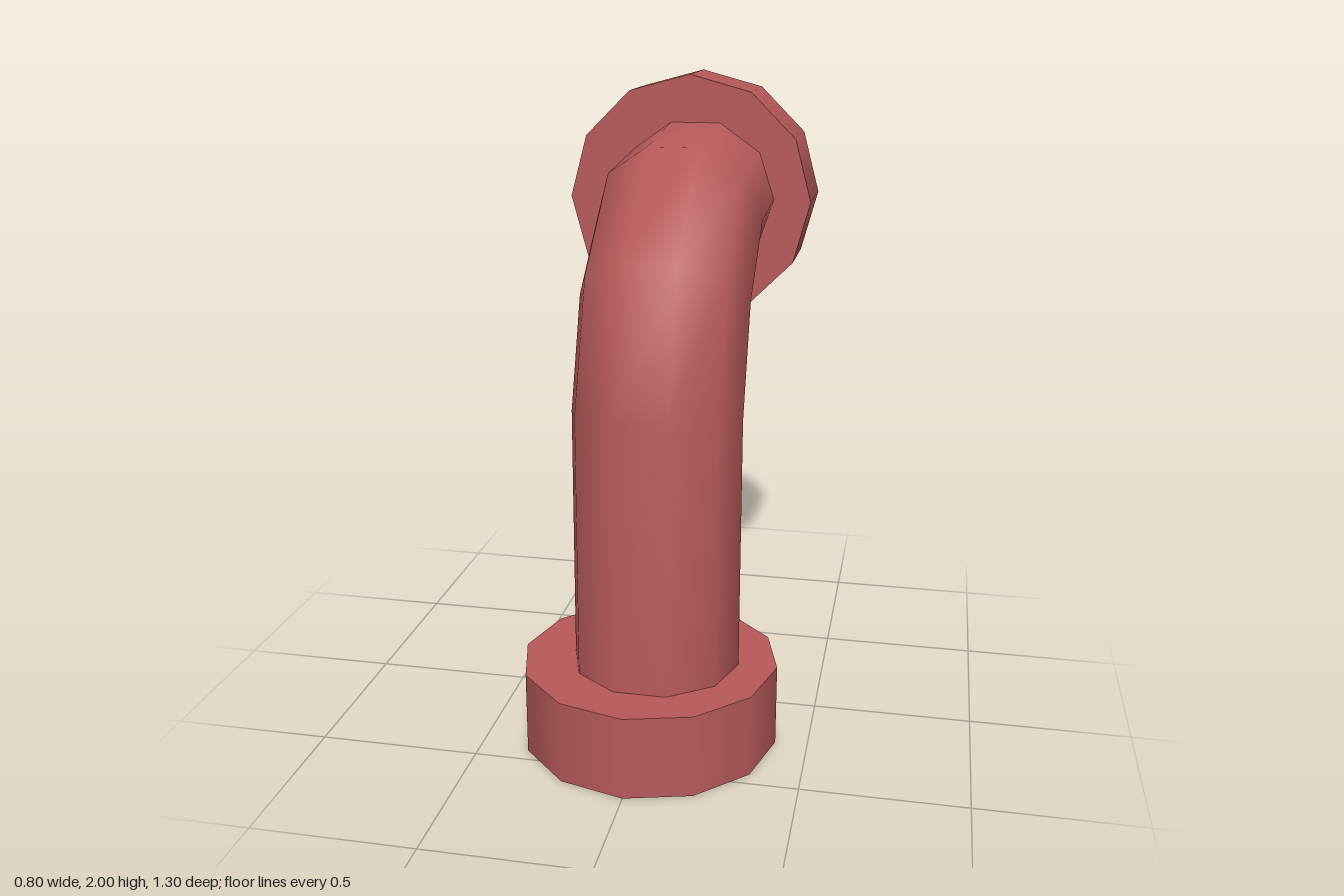
import * as THREE from 'three';

const SIDES = 10;

// Smooth open tube through bend stations: [outer z, outer y, inner z, inner y]
function bentTube(stations, halfWidth, centreX) {
  const positions = [], index = [];
  const apothem = Math.sin(Math.PI * 0.4);
  stations.forEach(([oz, oy, iz, iy], s) => {
    for (let k = 0; k < SIDES; k++) {
      const t = (k / SIDES) * Math.PI * 2;
      const out = Math.sin(t) / apothem / 2;
      positions.push(
        centreX + halfWidth * Math.cos(t),
        (oy + iy) / 2 + (oy - iy) * out,
        (oz + iz) / 2 + (oz - iz) * out
      );
      if (s < stations.length - 1) {
        const a = s * SIDES + k, b = s * SIDES + (k + 1) % SIDES;
        index.push(a, a + SIDES, b, b, a + SIDES, b + SIDES);
      }
    }
  });
  const geo = new THREE.BufferGeometry();
  geo.setAttribute('position', new THREE.Float32BufferAttribute(positions, 3));
  geo.setIndex(index);
  geo.computeVertexNormals();
  return geo;
}

// Thin-walled twelve-sided collar, closed at the pipe side and open at its mouth
function collar(name, material) {
  const radius = 0.4, depth = 0.26;
  const group = new THREE.Group();
  group.name = name;
  const wall = new THREE.Mesh(new THREE.CylinderGeometry(radius, radius, depth, 12, 1, true), material);
  wall.name = name + 'Wall';
  wall.position.y = depth / 2;
  const face = new THREE.Mesh(new THREE.CircleGeometry(radius, 12), material);
  face.name = name + 'Face';
  face.rotation.x = -Math.PI / 2;
  face.position.y = depth;
  group.add(wall, face);
  return group;
}

export function createModel() {
  const model = new THREE.Group();
  model.name = 'pipeElbow';
  const red = new THREE.MeshStandardMaterial({ color: 0xb85a5a, side: THREE.DoubleSide });
  red.name = 'dullRed';

  // Elbow pipe, its open ends reaching a little way into both collars
  const pipe = new THREE.Mesh(bentTube([
    [0.5, 0.14, 0.01, 0.14],
    [0.49, 1.1, 0.0, 1.0],
    [0.33, 1.52, -0.08, 1.24],
    [-0.01, 1.81, -0.21, 1.355],
    [-0.51, 1.86, -0.51, 1.375],
  ], 0.26, 0.02), red);
  pipe.name = 'elbowPipe';

  // Bottom collar opens downwards
  const bottom = collar('bottomCollar', red);
  bottom.position.set(0, 0, 0.25);

  // Back collar opens to the rear
  const back = collar('backCollar', red);
  back.rotation.x = Math.PI / 2;
  back.position.set(0, 1.6, -0.65);

  model.add(pipe, bottom, back);
  return model;
}
